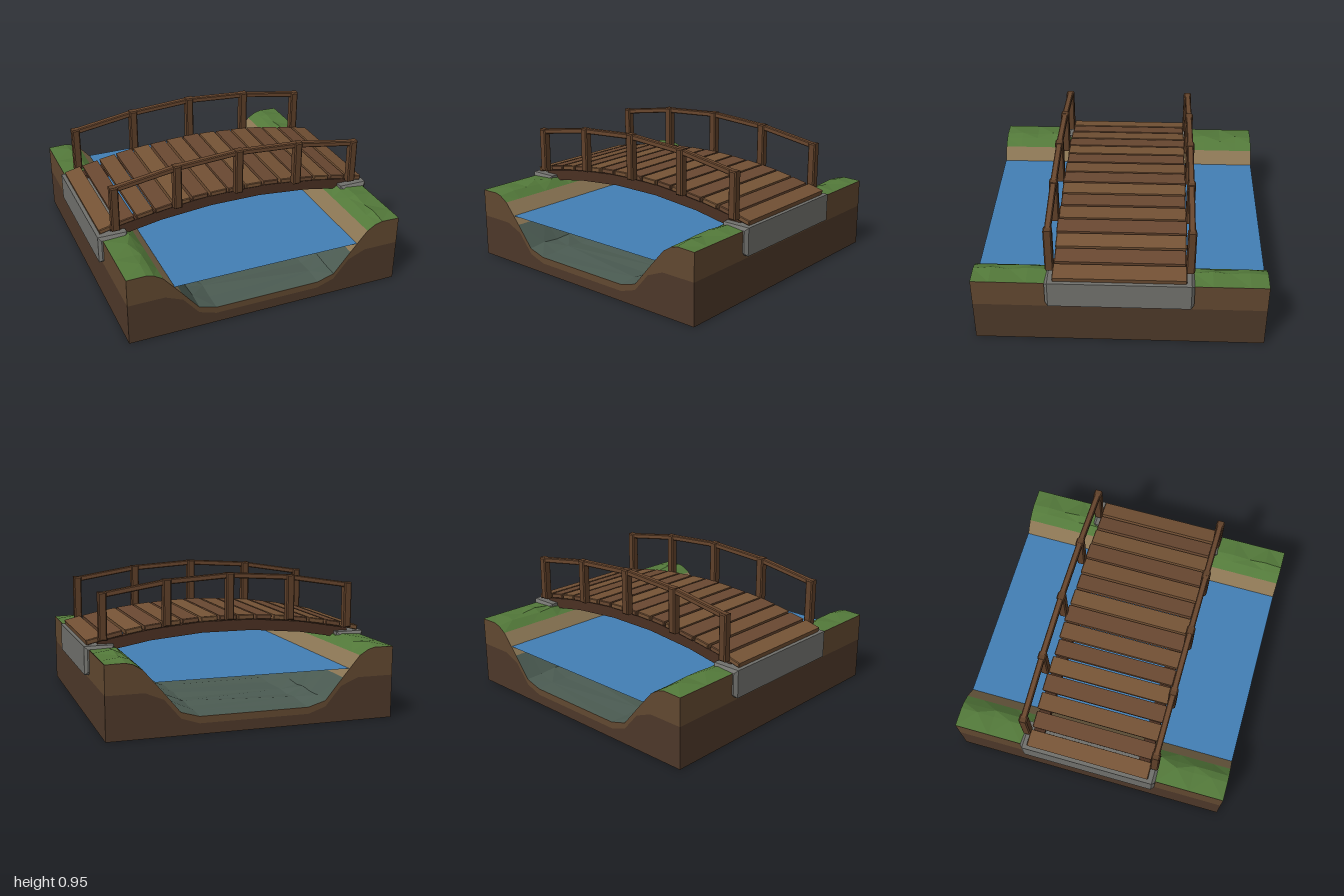
import * as THREE from 'three';

const HALF = 0.97; // half size of the land block
const ROWS = 16;
const WATER_Y = 0.353;

const mat = (color, side = THREE.FrontSide) =>
  new THREE.MeshStandardMaterial({ color, side, flatShading: true });

const M = {
  plankA: mat(0x765436), plankB: mat(0x694831), plankC: mat(0x725034),
  beam: mat(0x4a3022), post: mat(0x5f4029), rail: mat(0x69472e),
  stone: mat(0x70706c), soil: mat(0x4d3829), topsoil: mat(0x614830),
  grass: mat(0x53793a), sand: mat(0x8b7654), bed: mat(0x4b5b52),
  water: mat(0x437fb5, THREE.DoubleSide),
};

// Half cross-sections of the bank, from the outer edge to the stream bed
const SURFACE = [[0.97, 0.482], [0.84, 0.485], [0.79, 0.472], [0.73, 0.435], [0.61, 0.295], [0.49, 0.15], [0.37, 0.115]];
const LAYER = [[0.97, 0.29], [0.72, 0.29], [0.6, 0.24], [0.49, 0.11], [0.37, 0.07]];

const arch = (x) => 0.64 - 0.125 * x * x; // centre line of the planks

function add(parent, name, geometry, material, x = 0, y = 0, z = 0, rz = 0) {
  const mesh = new THREE.Mesh(geometry, material);
  mesh.name = name;
  mesh.position.set(x, y, z);
  mesh.rotation.z = rz;
  parent.add(mesh);
  return mesh;
}

// Box with one flat chamfer on every edge
function chamferBox(w, h, d, b) {
  const x = w / 2 - b, y = h / 2 - b;
  const shape = new THREE.Shape([[-x, -y], [x, -y], [x, y], [-x, y]].map((p) => new THREE.Vector2(...p)));
  return new THREE.ExtrudeGeometry(shape, {
    depth: d - 2 * b, bevelEnabled: true, bevelThickness: b, bevelSize: b, bevelSegments: 1,
  }).translate(0, 0, -d / 2 + b);
}

// Solid with constant section along z
function extrude(points, depth) {
  const shape = new THREE.Shape(points.map((p) => new THREE.Vector2(...p)));
  return new THREE.ExtrudeGeometry(shape, { depth, bevelEnabled: false }).translate(0, 0, -depth / 2);
}

const mirrored = (half) => [...half.map(([x, y]) => [-x, y]), ...[...half].reverse()];

// Faceted ground strip running along z; inner points are raised slightly
function groundStrip(profile, bump) {
  const n = profile.length, pos = [], index = [];
  for (let r = 0; r <= ROWS; r++) {
    const z = -HALF + (2 * HALF * r) / ROWS;
    profile.forEach(([x, y], i) => {
      const inner = r > 0 && r < ROWS && i > 0 && i < n - 1;
      const lift = inner ? bump * (0.5 + 0.5 * Math.sin(r * 2.6 + i * 1.9 + x * 3)) : 0;
      pos.push(x, y + 0.002 + lift, z);
    });
  }
  for (let r = 0; r < ROWS; r++) {
    for (let i = 0; i < n - 1; i++) {
      const a = r * n + i, b = a + n, c = a + 1, d = b + 1;
      if ((r + i) % 2) index.push(a, b, c, c, b, d);
      else index.push(a, b, d, a, d, c);
    }
  }
  const g = new THREE.BufferGeometry();
  g.setAttribute('position', new THREE.Float32BufferAttribute(pos, 3));
  g.setIndex(index);
  const flat = g.toNonIndexed();
  flat.computeVertexNormals();
  return flat;
}

function buildLand() {
  const land = new THREE.Group();
  land.name = 'land';
  const layer = mirrored(LAYER), surface = mirrored(SURFACE);
  add(land, 'lowerSoil', extrude([[-HALF, 0], [HALF, 0], ...[...layer].reverse()], 2 * HALF), M.soil);
  add(land, 'upperSoil', extrude([...layer, ...[...surface].reverse()], 2 * HALF), M.topsoil);
  add(land, 'streamBed', groundStrip(surface.slice(4, 10), 0.012), M.bed);
  add(land, 'leftGrass', groundStrip([...SURFACE.slice(0, 4)].reverse(), 0.016), M.grass);
  add(land, 'rightGrass', groundStrip(surface.slice(0, 4), 0.016), M.grass);
  add(land, 'leftBank', groundStrip([SURFACE[4], SURFACE[3]], 0), M.sand);
  add(land, 'rightBank', groundStrip(surface.slice(3, 5), 0), M.sand);
  const water = new THREE.PlaneGeometry(1.31, 2 * HALF).rotateX(-Math.PI / 2);
  add(land, 'water', water, M.water, 0, WATER_Y, 0);
  return land;
}

function buildDeck() {
  const deck = new THREE.Group();
  deck.name = 'deck';
  // Planks laid along the arch, with small differences in size and tilt
  const colors = [M.plankA, M.plankB, M.plankC, M.plankB];
  for (let i = 0; i < 15; i++) {
    const x = (i - 7) * 0.1315;
    const wobble = Math.sin(i * 4.7);
    const g = chamferBox(0.117 + 0.003 * wobble, 0.034, 0.87 + 0.008 * wobble, 0.005);
    add(deck, 'plank', g, colors[i % 4], x, arch(x), 0, -0.25 * x + 0.012 * wobble);
  }
  // Arched beams made of five straight lengths
  const xs = [-0.9, -0.54, -0.18, 0.18, 0.54, 0.9];
  const edge = (drop) => xs.map((x) => [x, arch(x) - drop]);
  const section = [...edge(0.093), ...edge(0.018).reverse()];
  for (const s of [-1, 1]) add(deck, 'beam', extrude(section, 0.08), M.beam, 0, 0, s * 0.38);
  return deck;
}

function buildRailing(side) {
  const railing = new THREE.Group();
  railing.name = side > 0 ? 'frontRailing' : 'backRailing';
  const z = side * 0.458;
  // Each post: x, bottom, top
  const posts = [[-0.875, 0.535, 0.855], [-0.44, 0.608, 0.925], [0, 0.63, 0.953], [0.44, 0.608, 0.925], [0.875, 0.535, 0.855]];
  posts.forEach(([x, y0, y1], i) => {
    add(railing, 'post', chamferBox(0.056, y1 - y0, 0.058, 0.008), M.post, x, (y0 + y1) / 2, z);
    if (i === 4) return;
    // Handrail length to the next post
    const [nx, , ny] = posts[i + 1];
    const length = Math.hypot(nx - x, ny - y1) + 0.03;
    add(railing, 'handrail', chamferBox(length, 0.036, 0.042, 0.006), M.rail,
      (x + nx) / 2, (y1 + ny) / 2 - 0.019, z, Math.atan2(ny - y1, nx - x));
  });
  return railing;
}

export function createModel() {
  const model = new THREE.Group();
  model.name = 'footbridge';
  model.add(buildLand(), buildDeck(), buildRailing(1), buildRailing(-1));
  // Stone footings under both ends of the deck
  for (const s of [-1, 1]) {
    add(model, s > 0 ? 'leftFooting' : 'rightFooting', chamferBox(0.2, 0.19, 0.975, 0.02), M.stone, s * 0.9, 0.41, 0);
  }
  return model;
}
